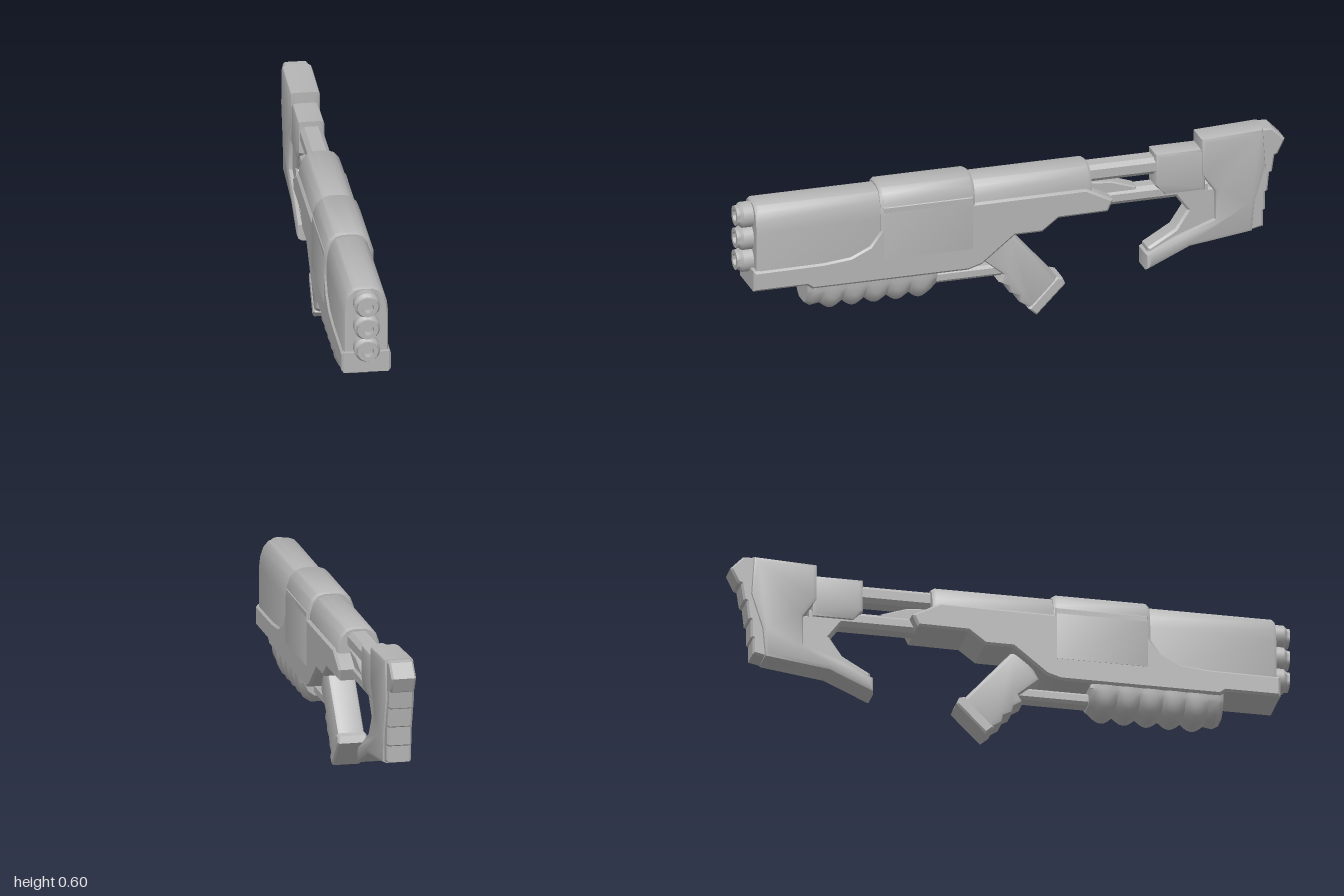
import * as THREE from 'three';
import { toCreasedNormals } from 'three/addons/utils/BufferGeometryUtils.js';

const metal = new THREE.MeshStandardMaterial({ color: 0xb4b4b4 });
metal.name = 'grey';

// Side profile given as [z, y] points, extruded across x with bevelled edges
function plate(points, half, bevel = 0.012, segments = 1) {
  const shape = new THREE.Shape(points.map(([z, y]) => new THREE.Vector2(-z, y)));
  const depth = 2 * (half - bevel);
  const g = new THREE.ExtrudeGeometry(shape, {
    depth, bevelEnabled: true, bevelThickness: bevel, bevelSize: bevel,
    bevelOffset: -bevel, bevelSegments: segments,
  });
  g.translate(0, 0, -depth / 2);
  g.rotateY(Math.PI / 2);
  return toCreasedNormals(g, 0.6);
}

// Skin over cross-sections [z, [[x, y], ...]] from front to back, capped at both ends
function loft(sections) {
  const n = sections[0][1].length;
  const pos = sections.flatMap(([z, ring]) => ring.flatMap(([x, y]) => [x, y, z]));
  const index = [];
  for (let i = 0; i < sections.length - 1; i++) {
    for (let j = 0; j < n; j++) {
      const a = i * n + j, b = i * n + (j + 1) % n, c = b + n, d = a + n;
      index.push(a, d, c, a, c, b);
    }
  }
  const last = (sections.length - 1) * n;
  for (let j = 1; j < n - 1; j++) {
    index.push(0, j, j + 1, last, last + j + 1, last + j);
  }
  const g = new THREE.BufferGeometry();
  g.setAttribute('position', new THREE.Float32BufferAttribute(pos, 3));
  g.setIndex(index);
  return toCreasedNormals(g, 0.7);
}

// Mirror the right half of a ring (counterclockwise, bottom to top)
const mirror = (half) => [...half, ...half.map(([x, y]) => [-x, y]).reverse()];

// Round-topped shell section
const dome = (h, bottom, top) => mirror([
  [h, bottom], [h, top - 0.1], [h * 0.94, top - 0.06],
  [h * 0.8, top - 0.028], [h * 0.58, top - 0.008], [h * 0.3, top],
]);

// Shell with a small chamfer at each end
const shell = (z0, z1, h, bottom, top) => loft([
  [z0, dome(h - 0.006, bottom, top - 0.008)], [z0 - 0.012, dome(h, bottom, top)],
  [z1 + 0.012, dome(h, bottom, top)], [z1, dome(h - 0.006, bottom, top - 0.008)],
]);

// Eight-sided bar along z
const bar = (z0, z1, h, y0, y1, c = 0.015) => {
  const ring = mirror([[h - c, y0], [h, y0 + c], [h, y1 - c], [h - c, y1]]);
  return loft([[z0, ring], [z1, ring]]);
};

export function createModel() {
  const model = new THREE.Group();
  model.name = 'longBlaster';
  const add = (name, geometry) => {
    const mesh = new THREE.Mesh(geometry, metal);
    mesh.name = name;
    model.add(mesh);
    return mesh;
  };

  // Receiver: narrow front shell, raised middle shell, rear tube
  add('frontShell', shell(0.942, 0.4, 0.08, 0.245, 0.552));
  add('middleShell', shell(0.49, 0.145, 0.088, 0.3, 0.566));
  add('rearShell', shell(0.16, -0.285, 0.08, 0.4, 0.552));

  // Wide lower body with the swept panel edge
  add('lowerBody', plate([
    [0.955, 0.235], [0.955, 0.31], [0.7, 0.312], [0.6, 0.322], [0.53, 0.355], [0.49, 0.41],
    [0.485, 0.5], [0.15, 0.5], [0.145, 0.47], [-0.26, 0.472], [-0.36, 0.42], [-0.34, 0.377],
    [-0.16, 0.375], [-0.1, 0.33], [0, 0.33], [0.12, 0.235], [0.17, 0.22], [0.74, 0.22], [0.76, 0.235],
  ], 0.087, 0.008));

  // Three stacked barrels with hollow muzzles
  const muzzle = [[0.046, 0.92], [0.046, 0.978], [0.036, 0.99], [0.036, 1],
    [0.021, 1], [0.021, 0.97], [0, 0.97]].map(([r, z]) => new THREE.Vector2(r, z));
  [0.497, 0.413, 0.33].forEach((y) => {
    const g = new THREE.LatheGeometry(muzzle, 24);
    g.rotateX(Math.PI / 2);
    add('barrel', toCreasedNormals(g, 0.6)).position.y = y;
  });

  // Fore grip with a scalloped underside
  const gripRing = (h, b) => mirror([
    [h * 0.4, b], [h * 0.75, b + 0.018], [h * 0.95, b + 0.05], [h, 0.205], [h, 0.25],
  ]);
  const sections = [[0.755, gripRing(0.07, 0.15)], [0.735, gripRing(0.078, 0.138)]];
  const scallops = 5, steps = 6;
  for (let i = 0; i <= scallops * steps; i++) {
    const t = i / (scallops * steps);
    const wave = Math.abs(Math.sin(t * Math.PI * scallops));
    sections.push([0.7 - 0.405 * t, gripRing(0.076 + 0.003 * wave, 0.143 - 0.023 * wave)]);
  }
  sections.push([0.28, gripRing(0.07, 0.155)]);
  add('foreGrip', loft(sections));
  add('underRod', bar(0.3, 0.03, 0.032, 0.16, 0.203, 0.01));

  // Slanted pistol grip with finger ridges and an end cap
  add('pistolGrip', plate([
    [0.105, 0.232], [0.03, 0.168], [0.045, 0.14], [0.012, 0.12], [0.005, 0.095],
    [-0.025, 0.08], [-0.03, 0.055], [-0.075, 0.025], [-0.175, 0.125], [0, 0.325], [0.05, 0.33],
  ], 0.05, 0.016, 2));
  add('gripCap', plate([
    [-0.06, 0.03], [-0.09, 0.003], [-0.195, 0.108], [-0.185, 0.132], [-0.165, 0.138],
  ], 0.053, 0.006));

  // Stock arms and the strut between them
  add('upperArm', bar(-0.27, -0.56, 0.04, 0.474, 0.536));
  add('lowerArm', bar(-0.3, -0.72, 0.038, 0.376, 0.432));
  add('armStrut', plate([
    [-0.26, 0.475], [-0.37, 0.465], [-0.46, 0.435], [-0.46, 0.415], [-0.26, 0.415],
  ], 0.03, 0.005));

  // Sleeve and shoulder stock
  add('stockSleeve', plate([
    [-0.525, 0.555], [-0.71, 0.555], [-0.71, 0.395], [-0.56, 0.395], [-0.525, 0.435],
  ], 0.048, 0.016, 2));
  add('stock', plate([
    [-0.69, 0.595], [-0.92, 0.605], [-0.93, 0.46], [-0.89, 0.33], [-0.88, 0.22],
    [-0.65, 0.19], [-0.49, 0.12], [-0.49, 0.18], [-0.6, 0.235], [-0.74, 0.285],
    [-0.74, 0.39], [-0.69, 0.46],
  ], 0.055, 0.018, 2));
  add('stockLining', plate([
    [-0.58, 0.4], [-0.6, 0.385], [-0.645, 0.325], [-0.6, 0.258], [-0.5, 0.2],
    [-0.5, 0.165], [-0.64, 0.2], [-0.77, 0.26], [-0.77, 0.4],
  ], 0.038, 0.008));

  // Curved butt pad with shallow ridges
  add('buttPad', plate([
    [-0.9, 0.603], [-0.955, 0.6], [-1, 0.553], [-0.974, 0.5], [-0.962, 0.495], [-0.953, 0.435],
    [-0.943, 0.43], [-0.936, 0.365], [-0.928, 0.36], [-0.927, 0.295], [-0.92, 0.29],
    [-0.92, 0.232], [-0.87, 0.222], [-0.875, 0.33], [-0.91, 0.46],
  ], 0.044, 0.007));

  return model;
}
